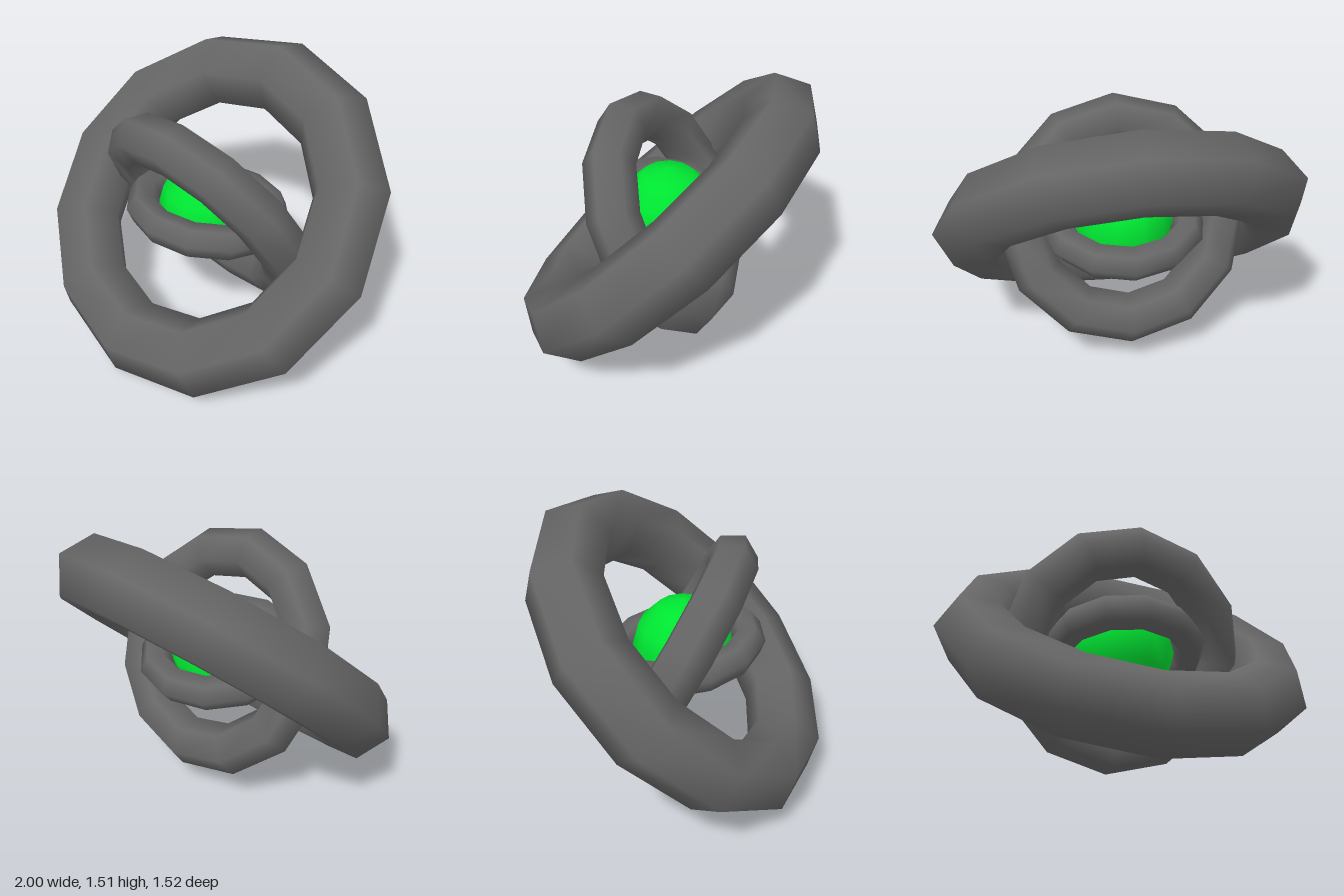
import * as THREE from 'three';

const CENTRE_Y = 0.756;

export function createModel() {
  const model = new THREE.Group();
  model.name = 'gyroscope';

  const ringMaterial = new THREE.MeshStandardMaterial({ color: 0x666666 });
  const coreMaterial = new THREE.MeshStandardMaterial({ color: 0x00e632 });

  function add(name, geometry, material) {
    const mesh = new THREE.Mesh(geometry, material);
    mesh.name = name;
    mesh.position.y = CENTRE_Y;
    model.add(mesh);
    return mesh;
  }

  // Nested rings: name, ring radius, tube radius, tilt about x in degrees
  const rings = [
    ['outerRing', 0.8, 0.2, -45.4],
    ['middleRing', 0.535, 0.133, 27.7],
    ['innerRing', 0.357, 0.088, 80.2],
  ];
  for (const [name, radius, tube, tilt] of rings) {
    const ring = add(name, new THREE.TorusGeometry(radius, tube, 6, 12), ringMaterial);
    ring.rotation.x = THREE.MathUtils.degToRad(tilt);
  }

  // Ball in the middle, turned half a segment
  const core = add('core', new THREE.SphereGeometry(0.273, 12, 6), coreMaterial);
  core.rotation.y = Math.PI / 12;

  return model;
}
